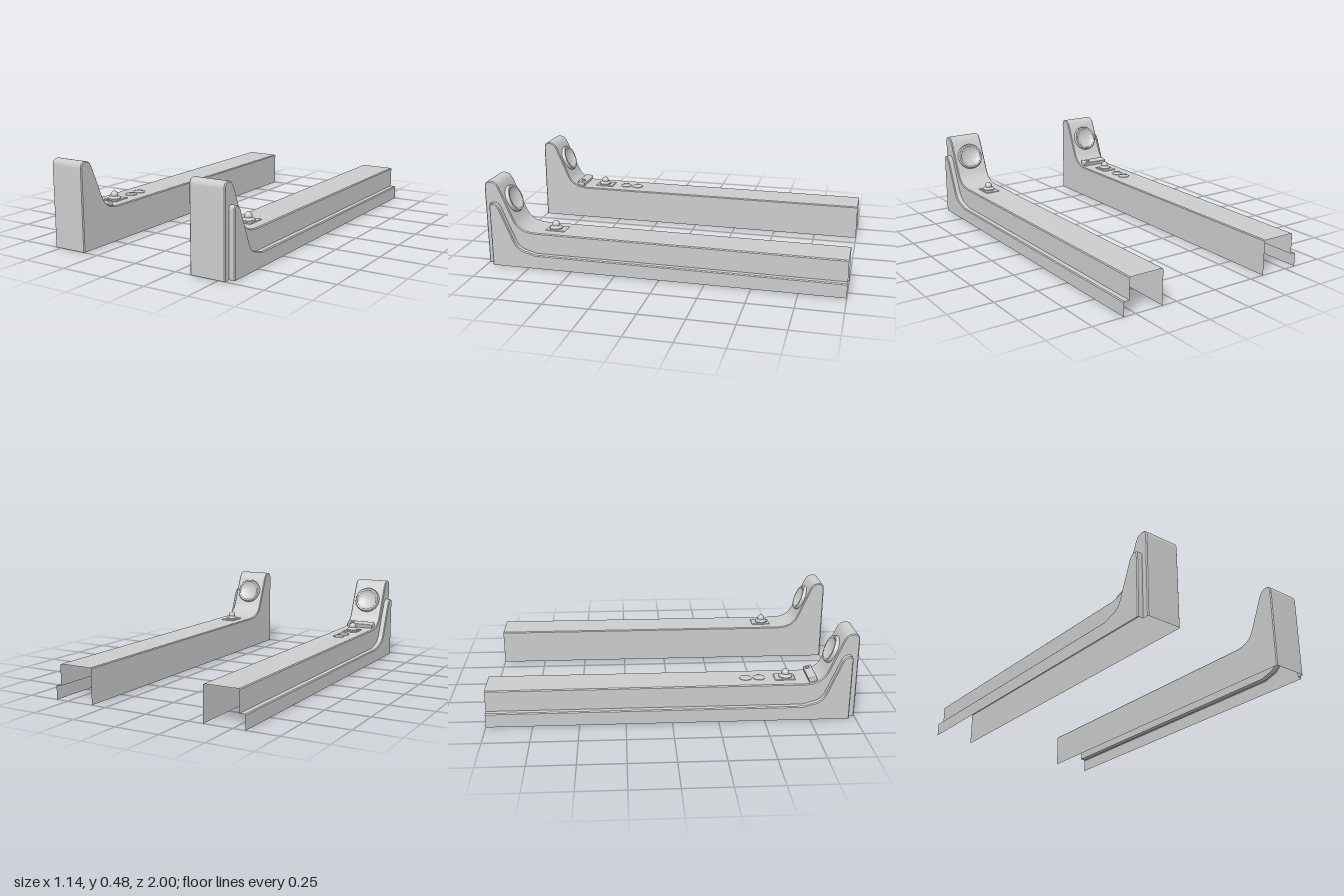
import * as THREE from 'three';
import { toCreasedNormals } from 'three/addons/utils/BufferGeometryUtils.js';
import { RoundedBoxGeometry } from 'three/addons/geometries/RoundedBoxGeometry.js';

const mat = new THREE.MeshStandardMaterial({ color: 0xcccccc, side: THREE.DoubleSide });

function add(parent, name, geometry, x = 0, y = 0, z = 0) {
  const m = new THREE.Mesh(geometry, mat);
  m.name = name;
  m.position.set(x, y, z);
  parent.add(m);
  return m;
}

// Side contours as (z, y): long flat run, sweep up, rounded crest, front face
function bodyContour() {
  const p = new THREE.Path();
  p.moveTo(-1, 0.197);
  p.lineTo(0.72, 0.197);
  p.bezierCurveTo(0.79, 0.2, 0.825, 0.225, 0.845, 0.275);
  p.lineTo(0.908, 0.425);
  p.bezierCurveTo(0.925, 0.465, 0.935, 0.48, 0.967, 0.48);
  p.quadraticCurveTo(1, 0.48, 1, 0.445);
  p.lineTo(1, 0);
  return p.getPoints(8);
}

function ledgeContour() {
  const p = new THREE.Path();
  p.moveTo(-1, 0.079);
  p.lineTo(0.71, 0.079);
  p.lineTo(0.78, 0.1);
  p.quadraticCurveTo(0.815, 0.113, 0.832, 0.155);
  p.lineTo(0.903, 0.325);
  p.quadraticCurveTo(0.918, 0.364, 0.945, 0.364);
  p.quadraticCurveTo(0.965, 0.364, 0.965, 0.345);
  p.lineTo(0.965, 0);
  return p.getPoints(6);
}

// Move a contour inwards by distance d
function inset(pts, d) {
  return pts.map((p, i) => {
    const a = pts[Math.max(i - 1, 0)], b = pts[Math.min(i + 1, pts.length - 1)];
    const t = b.clone().sub(a).normalize();
    return new THREE.Vector2(p.x + t.y * d, p.y - t.x * d);
  });
}

// Sheet that follows a contour; each row is [x, inset]
function strip(pts, rows) {
  const pos = [], idx = [], n = pts.length;
  for (const [x, d] of rows) for (const p of inset(pts, d)) pos.push(x, p.y, p.x);
  for (let r = 0; r < rows.length - 1; r++) {
    for (let i = 0; i < n - 1; i++) {
      const a = r * n + i, b = a + n;
      idx.push(a, a + 1, b, b, a + 1, b + 1);
    }
  }
  const g = new THREE.BufferGeometry();
  g.setAttribute('position', new THREE.Float32BufferAttribute(pos, 3));
  g.setIndex(idx);
  return toCreasedNormals(g, 0.5);
}

// Flat wall in the z-y plane
function wall(pts) {
  return new THREE.ShapeGeometry(new THREE.Shape(pts)).rotateY(-Math.PI / 2);
}

function lathe(points, segments = 32) {
  const g = new THREE.LatheGeometry(points.map(([r, y]) => new THREE.Vector2(r, y)), segments);
  return toCreasedNormals(g, 0.6);
}

// Hollow rail, open below and at the back; s = +1 left, -1 right
function makeRail(s) {
  const rail = new THREE.Group();
  const body = bodyContour(), ledge = ledgeContour();
  const b = 0.005, inner = 0.337 * s, mid = 0.538 * s, outer = 0.57 * s;

  add(rail, 'topAndFrontShell', strip(body, [[inner, b], [inner + b * s, 0], [mid - b * s, 0], [mid, b]]));
  const innerBody = inset(body, b);
  add(rail, 'innerWall', wall([...innerBody, new THREE.Vector2(-1, 0)]), inner);
  add(rail, 'outerWall', wall([...innerBody, ...ledge.slice().reverse()]), mid);
  add(rail, 'ledgeShell', strip(ledge, [[mid, 0], [outer - b * s, 0], [outer, b]]));
  add(rail, 'ledgeWall', wall([...inset(ledge, b), new THREE.Vector2(-1, 0)]), outer);

  const cx = 0.4375 * s;

  // Round speaker on the sloped back of the upright
  const speaker = add(rail, 'speaker', lathe([
    [0.078, -0.01], [0.078, 0.014], [0.074, 0.02], [0.064, 0.02], [0.06, 0.016],
    [0.05, 0.01], [0.035, 0.005], [0.018, 0.002], [0, 0.001],
  ], 40), cx, 0.357, 0.879);
  speaker.rotation.x = -Math.atan2(0.922, 0.387);

  // Control stick on its plate
  const stick = new THREE.Group();
  stick.name = 'controlStick';
  stick.position.set(cx, 0.197, 0.622);
  rail.add(stick);
  add(stick, 'stickPlate', new RoundedBoxGeometry(0.086, 0.01, 0.112, 2, 0.004));
  add(stick, 'stickBoot', lathe([
    [0.037, 0.004], [0.036, 0.011], [0.028, 0.018], [0.018, 0.023], [0.014, 0.03],
  ], 24), 0, 0, 0.006);
  add(stick, 'stickKnob', new THREE.SphereGeometry(0.021, 20, 14), 0, 0.029, 0.006);
  return rail;
}

export function createModel() {
  const model = new THREE.Group();
  const left = makeRail(1), right = makeRail(-1);
  left.name = 'leftRail';
  right.name = 'rightRail';
  model.add(left, right);

  // Extra controls on the right rail only
  for (const z of [0.408, 0.483]) {
    add(right, 'flatButton', lathe([[0.034, -0.004], [0.034, 0.003], [0.031, 0.005], [0, 0.005]]), -0.4375, 0.197, z);
  }
  const bar = new THREE.Group();
  bar.name = 'switchBar';
  bar.position.set(-0.4375, 0.212, 0.766);
  bar.rotation.x = -0.25;
  right.add(bar);
  add(bar, 'barBody', new RoundedBoxGeometry(0.17, 0.034, 0.046, 2, 0.005));
  add(bar, 'barButton', lathe([[0.012, 0], [0.012, 0.006], [0.009, 0.009], [0, 0.01]], 20), 0.052, 0.016, -0.003);
  return model;
}
